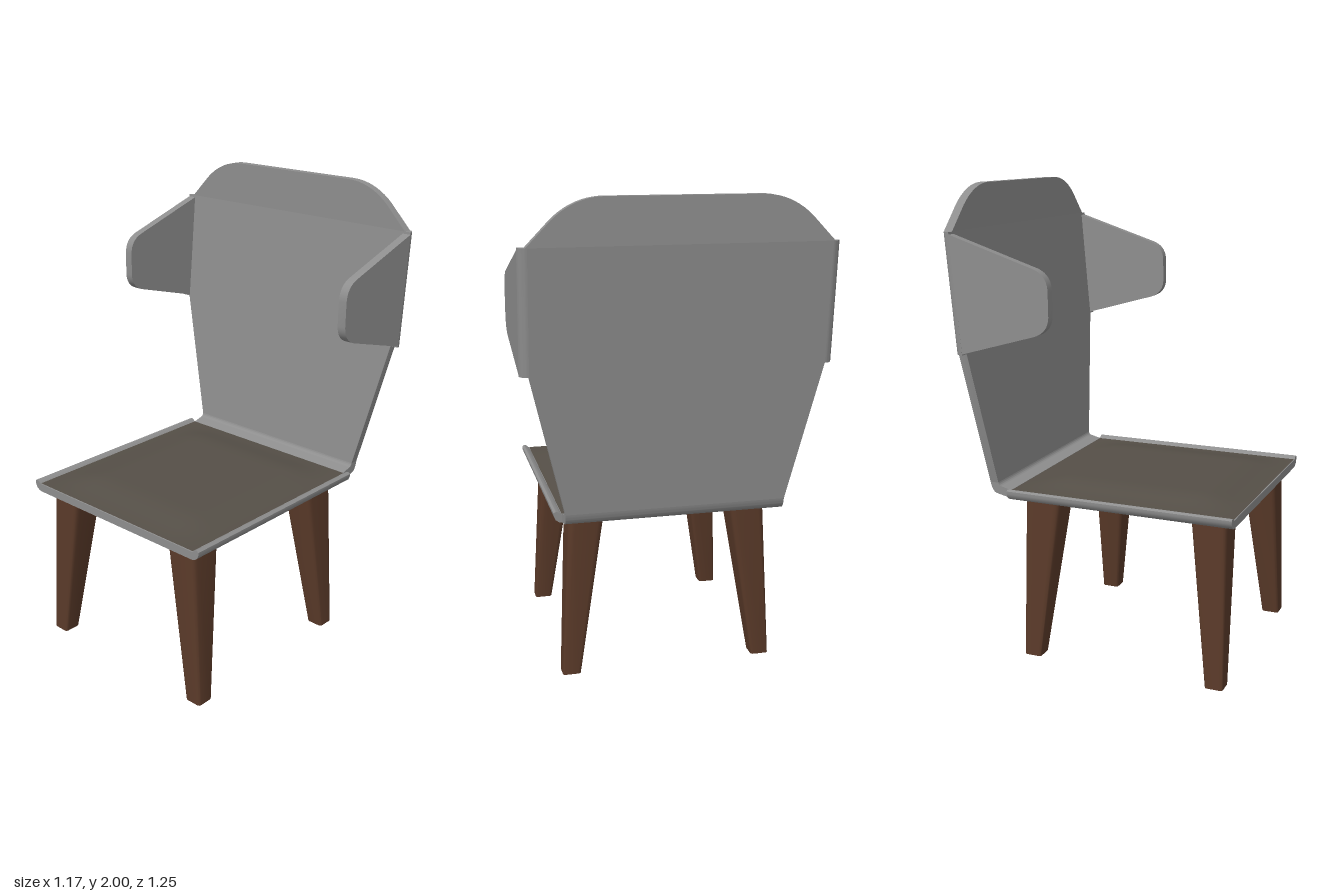
import * as THREE from 'three';
import { toCreasedNormals } from 'three/addons/utils/BufferGeometryUtils.js';

const shellMat = new THREE.MeshStandardMaterial({ color: 0x8e8e8e });
shellMat.name = 'grey shell';
const cushionMat = new THREE.MeshStandardMaterial({ color: 0x554f47 });
cushionMat.name = 'dark cushion';
const woodMat = new THREE.MeshStandardMaterial({ color: 0x5a3a29 });
woodMat.name = 'brown wood';

const poly = (pts) => new THREE.Shape(pts.map(([x, y]) => new THREE.Vector2(x, y)));
const extrude = (shape, depth, curveSegments = 10) =>
  new THREE.ExtrudeGeometry(shape, { depth, bevelEnabled: false, curveSegments });

// Moves every vertex by a rule
function warp(geo, rule) {
  const p = geo.attributes.position;
  const v = new THREE.Vector3();
  for (let i = 0; i < p.count; i++) {
    rule(v.fromBufferAttribute(p, i));
    p.setXYZ(i, v.x, v.y, v.z);
  }
  return geo;
}

// Inner face of the leaning back at height y
const lean = (y) => 0.455 + (y - 0.76) * 0.085;
const T = 0.037; // shell thickness

export function createModel() {
  const group = new THREE.Group();
  const add = (name, geo, mat) => {
    const mesh = new THREE.Mesh(toCreasedNormals(geo, 0.6), mat);
    mesh.name = name;
    group.add(mesh);
    return mesh;
  };

  // Seat pan with upturned side lips, swept along x
  const half = [[0.45, 0.7], [0.465, 0.703], [0.48, 0.714], [0.487, 0.73],
    [0.487, 0.742], [0.478, 0.749], [0.466, 0.745], [0.455, 0.735]];
  const mirrored = half.map(([z, y]) => [-z, y]).reverse();
  add('seatPan', extrude(poly([...half, ...mirrored]), 0.985)
    .rotateY(Math.PI / 2).translate(-0.587, 0, 0), shellMat);

  // Softly domed seat cushion
  const rise = (d) => THREE.MathUtils.smoothstep(d, 0, 0.2);
  const cushion = new THREE.PlaneGeometry(0.98, 0.908, 24, 24).rotateX(-Math.PI / 2);
  warp(cushion, (v) => {
    v.y = 0.737 + 0.028 * rise(0.49 - Math.abs(v.x)) * rise(0.454 - Math.abs(v.z));
    v.x -= 0.094;
  });
  add('seatCushion', cushion, cushionMat).material.side = THREE.DoubleSide;

  // Bend between seat and back
  const bend = new THREE.Shape();
  bend.moveTo(0.395, 0.702);
  bend.lineTo(0.462, 0.717);
  bend.quadraticCurveTo(0.485, 0.722, lean(0.765) + T, 0.765);
  bend.lineTo(lean(0.765), 0.765);
  bend.quadraticCurveTo(0.453, 0.752, 0.44, 0.749);
  bend.lineTo(0.395, 0.738);
  add('backBend', extrude(bend, 0.906).translate(0, 0, -0.453), shellMat);

  // Leaning back panel
  const backShape = poly([[-0.453, 0.764], [0.453, 0.764], [0.588, 1.335], [0.588, 1.82],
    [-0.588, 1.82], [-0.588, 1.335]]);
  const back = extrude(backShape, T).rotateY(Math.PI / 2);
  add('backPanel', warp(back, (v) => { v.x += lean(v.y); }), shellMat);

  // Upright rounded top of the back
  const top = new THREE.Shape();
  top.moveTo(-0.595, 1.82);
  top.lineTo(0.595, 1.82);
  top.lineTo(0.5, 1.918);
  top.bezierCurveTo(0.44, 1.975, 0.37, 2, 0.3, 2);
  top.lineTo(-0.3, 2);
  top.bezierCurveTo(-0.37, 2, -0.44, 1.975, -0.5, 1.918);
  add('backTop', extrude(top, T).rotateY(Math.PI / 2).translate(lean(1.82), 0, 0), shellMat);

  // Side wings with rounded corners into the back
  const wing = new THREE.Shape();
  wing.moveTo(lean(1.82), 1.811);
  wing.lineTo(0.18, 1.693);
  wing.quadraticCurveTo(0.12, 1.672, 0.118, 1.61);
  wing.lineTo(0.117, 1.51);
  wing.quadraticCurveTo(0.12, 1.452, 0.18, 1.432);
  wing.lineTo(lean(1.335), 1.34);
  for (const s of [1, -1]) {
    const side = s > 0 ? 'left' : 'right';
    add(side + 'Wing', extrude(wing, T).translate(0, 0, s > 0 ? 0.586 : -0.586 - T), shellMat);
    const corner = new THREE.Shape();
    corner.moveTo(0, 0);
    for (let i = 0; i <= 8; i++) {
      const a = (i / 8) * Math.PI / 2;
      corner.lineTo(T * Math.cos(a), -s * T * Math.sin(a));
    }
    const cornerGeo = extrude(corner, 0.485).rotateX(-Math.PI / 2).translate(0, 1.335, s * 0.586);
    add(side + 'WingCorner', warp(cornerGeo, (v) => { v.x += lean(v.y); }), shellMat);
  }

  // Splayed, tapered legs with a rounded square section
  const section = new THREE.Shape();
  const h = 0.5, r = 0.17;
  section.moveTo(-h + r, -h);
  [[h, -h, 0, 1], [h, h, -1, 0], [-h, h, 0, -1], [-h, -h, 1, 0]].forEach(([x, y, dx, dy]) => {
    section.lineTo(x - dy * r, y + dx * r);
    section.quadraticCurveTo(x, y, x + dx * r, y + dy * r);
  });
  const { lerp } = THREE.MathUtils;
  for (const s of [1, -1]) {
    for (const [name, x0, x1, w] of [['frontLeg', -0.512, -0.466, 0.152], ['backLeg', 0.311, 0.268, 0.163]]) {
      const leg = extrude(section, 0.71, 4).rotateX(-Math.PI / 2);
      warp(leg, (v) => {
        const t = v.y / 0.71;
        v.x = v.x * lerp(0.077, w, t) + lerp(x0, x1, t);
        v.z = v.z * lerp(0.077, 0.148, t) + s * lerp(0.416, 0.342, t);
      });
      add((s > 0 ? 'left ' : 'right ') + name, leg, woodMat);
    }
  }
  return group;
}
